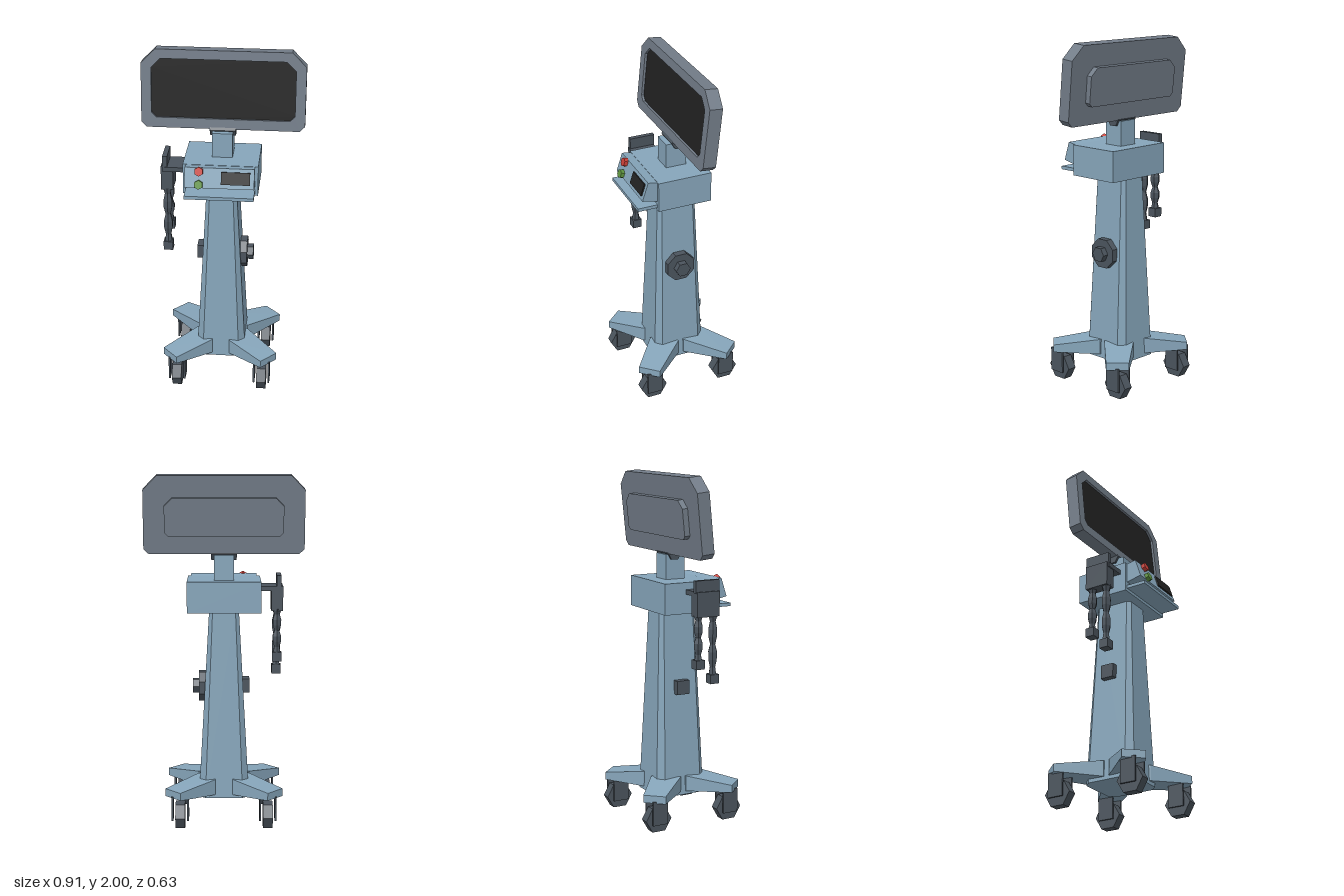
import * as THREE from 'three';
import { ConvexGeometry } from 'three/addons/geometries/ConvexGeometry.js';

const mat = (name, color) => {
  const m = new THREE.MeshStandardMaterial({ color });
  m.name = name;
  m.flatShading = true;
  return m;
};

export function createModel() {
  const blue = mat('blue body', 0x86a5ba);
  const grey = mat('grey housing', 0x727c88);
  const dark = mat('dark grey', 0x4b545d);
  const black = mat('black screen', 0x222222);
  const red = mat('red button', 0xcc4038);
  const green = mat('green button', 0x5f943f);

  const root = new THREE.Group();
  root.name = 'medicalCart';

  const add = (name, geo, material, x = 0, y = 0, z = 0, parent = root) => {
    const m = new THREE.Mesh(geo, material);
    m.name = name;
    m.position.set(x, y, z);
    parent.add(m);
    return m;
  };
  // Box given by its min and max corners
  const block = (name, material, x0, x1, y0, y1, z0, z1, parent = root) =>
    add(name, new THREE.BoxGeometry(x1 - x0, y1 - y0, z1 - z0), material,
      (x0 + x1) / 2, (y0 + y1) / 2, (z0 + z1) / 2, parent);
  // Prism whose axis runs along x
  const axle = (r, width, sides, turn = 0) =>
    new THREE.CylinderGeometry(r, r, width, sides).rotateY(turn).rotateZ(Math.PI / 2);

  // Tapered column with chamfered corners
  const ring = (hx, hz, c, y) => {
    const pts = [];
    for (const sx of [-1, 1]) for (const sz of [-1, 1]) {
      pts.push(new THREE.Vector3(sx * hx, y, sz * (hz - c)));
      pts.push(new THREE.Vector3(sx * (hx - c), y, sz * hz));
    }
    return pts;
  };
  add('column', new ConvexGeometry([...ring(0.145, 0.155, 0.037, 0.145), ...ring(0.085, 0.113, 0.02, 1.23)]), blue);

  // Four diagonal legs with casters: x, z, bottom y, top y of each corner
  const legCorners = [
    [0.335, 0.217, 0.176, 0.22], [0.247, 0.313, 0.176, 0.22],
    [0.052, 0.16, 0.165, 0.256], [0.148, 0.017, 0.165, 0.256],
  ];
  for (const sx of [-1, 1]) for (const sz of [-1, 1]) {
    const pts = [];
    for (const [x, z, y0, y1] of legCorners) {
      pts.push(new THREE.Vector3(sx * x, y0, sz * z), new THREE.Vector3(sx * x, y1, sz * z));
    }
    pts.push(new THREE.Vector3(0, 0.165, 0), new THREE.Vector3(0, 0.256, 0));
    add('leg', new ConvexGeometry(pts), blue);

    const caster = new THREE.Group();
    caster.name = 'caster';
    caster.position.set(sx * 0.25, 0, sz * 0.23);
    root.add(caster);
    add('wheel', axle(0.08, 0.055, 6), dark, 0, 0.07, 0, caster);
    for (const s of [-1, 1]) {
      block('forkPlate', dark, s * 0.044 - 0.005, s * 0.044 + 0.005, 0.045, 0.185, -0.047, 0.047, caster);
    }
  }

  // Knob on the left, small block on the right
  add('knobDisc', axle(0.09, 0.04, 8, Math.PI / 8), dark, 0.125, 0.78, 0);
  add('knobHub', axle(0.045, 0.04, 6), dark, 0.16, 0.78, 0);
  block('sideBlock', dark, -0.147, -0.1, 0.745, 0.825, -0.04, 0.04);

  // Head box, sloped control panel, shelf and neck
  block('headBox', blue, -0.21, 0.21, 1.225, 1.402, -0.152, 0.165);
  const profile = new THREE.Shape([[0.15, 1.4], [0.15, 1.28], [0.255, 1.302], [0.22, 1.41], [0.165, 1.4]]
    .map(([z, y]) => new THREE.Vector2(z, y)));
  const panelGeo = new THREE.ExtrudeGeometry(profile, { depth: 0.386, bevelEnabled: false });
  add('controlPanel', panelGeo.rotateY(-Math.PI / 2), blue, 0.193);
  block('shelf', blue, -0.193, 0.193, 1.243, 1.262, 0.15, 0.282);
  block('neck', blue, -0.058, 0.058, 1.39, 1.545, -0.065, 0.055);
  add('hinge', axle(0.042, 0.145, 6), dark, 0, 1.552, -0.015);

  // Buttons and small display lying on the panel slope
  const controls = new THREE.Group();
  controls.name = 'controls';
  controls.position.set(0, 1.356, 0.2375);
  controls.rotation.x = -0.313;
  root.add(controls);
  const button = () => new THREE.CylinderGeometry(0.026, 0.026, 0.024, 6).rotateX(Math.PI / 2);
  add('redButton', button(), red, -0.113, 0.036, 0.01, controls);
  add('greenButton', button(), green, -0.113, -0.037, 0.01, controls);
  add('panelDisplay', new THREE.BoxGeometry(0.16, 0.07, 0.009), black, 0.09, 0.002, 0.004, controls);

  // Monitor, tilted back
  const monitor = new THREE.Group();
  monitor.name = 'monitor';
  monitor.position.set(0, 1.775, -0.04);
  monitor.rotation.x = -0.1;
  root.add(monitor);
  const outline = (w, y0, y1, cTop, cBot) => [
    [-w + cBot, y0], [w - cBot, y0], [w, y0 + cBot], [w, y1 - cTop],
    [w - cTop, y1], [-w + cTop, y1], [-w, y1 - cTop], [-w, y0 + cBot],
  ].map(([x, y]) => new THREE.Vector2(x, y));
  const slab = (pts, depth, hole) => {
    const s = new THREE.Shape(pts);
    if (hole) s.holes.push(new THREE.Path(hole));
    return new THREE.ExtrudeGeometry(s, { depth, bevelEnabled: false });
  };
  const outer = outline(0.457, -0.2225, 0.2225, 0.08, 0.03);
  const opening = outline(0.4, -0.165, 0.17, 0.052, 0.027);
  add('monitorBack', slab(outer, 0.055), grey, 0, 0, -0.0375, monitor);
  add('monitorBezel', slab(outer, 0.02, opening), grey, 0, 0, 0.0175, monitor);
  add('screen', slab(opening, 0.006), black, 0, 0, 0.0175, monitor);
  add('rearCover', slab(outline(0.337, -0.115, 0.1, 0.045, 0.02), 0.033), grey, 0, 0, -0.07, monitor);

  // Side holder
  block('holderArm', dark, -0.33, -0.2, 1.335, 1.362, -0.02, 0.13);
  block('holderBlock', dark, -0.34, -0.272, 1.22, 1.362, -0.02, 0.122);
  block('holderTab', dark, -0.33, -0.303, 1.355, 1.425, -0.025, 0.125);

  // Two hanging wavy handles, front one longer
  for (const [z, bottom] of [[0.098, 0.835], [0.005, 0.925]]) {
    const h = 1.23 - bottom - 0.05;
    const radii = [0.024, 0.017, 0.027, 0.028, 0.016, 0.027, 0.028, 0.018, 0.03];
    const pts = radii.map((r, i) => new THREE.Vector2(r, (h * i) / (radii.length - 1)));
    add('handle', new THREE.LatheGeometry(pts, 6), dark, -0.306, bottom + 0.05, z);
    block('handleEnd', dark, -0.333, -0.279, bottom, bottom + 0.052, z - 0.027, z + 0.027);
  }

  return root;
}
